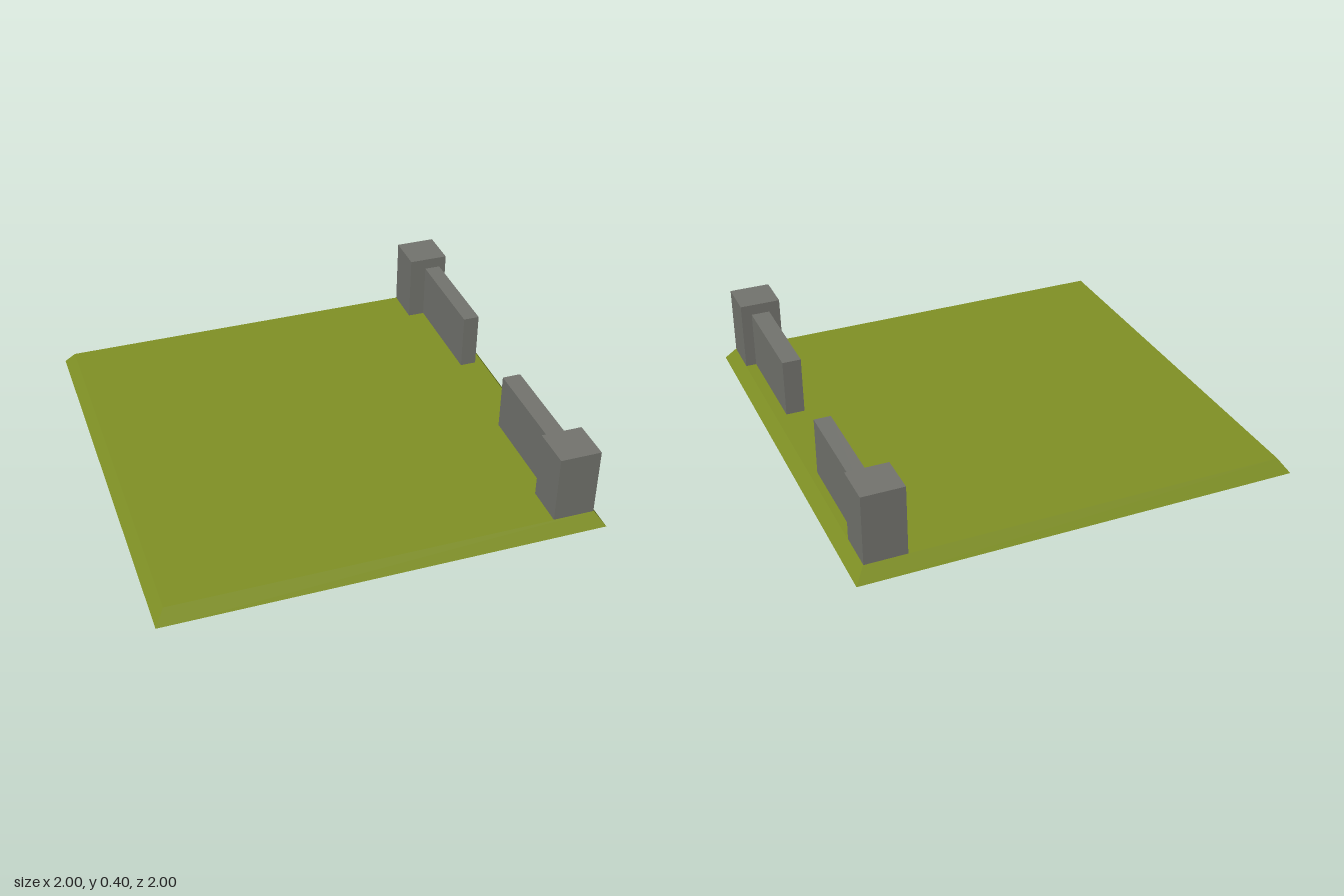
import * as THREE from 'three';

const grass = new THREE.MeshStandardMaterial({ color: 0x809125, side: THREE.DoubleSide });
grass.name = 'olive ground';
const stone = new THREE.MeshStandardMaterial({ color: 0x73746e, side: THREE.DoubleSide });
stone.name = 'grey stone';

// Box shell with an open underside; the top edge is drawn in by inset
function openBox(name, material, [x0, x1], [y0, y1], [z0, z1], inset = 0) {
  const w = x1 - x0, h = y1 - y0, d = z1 - z0;
  const geo = new THREE.BoxGeometry(w, h, d);
  const index = Array.from(geo.index.array);
  index.splice(18, 6); // drop the bottom face
  geo.setIndex(index);
  geo.clearGroups();
  const p = geo.attributes.position;
  for (let i = 0; i < p.count; i++) {
    if (p.getY(i) > 0) {
      p.setX(i, p.getX(i) - Math.sign(p.getX(i)) * inset);
      p.setZ(i, p.getZ(i) - Math.sign(p.getZ(i)) * inset);
    }
  }
  geo.computeVertexNormals();
  const mesh = new THREE.Mesh(geo, material);
  mesh.name = name;
  mesh.position.set((x0 + x1) / 2, (y0 + y1) / 2, (z0 + z1) / 2);
  return mesh;
}

export function createModel() {
  const model = new THREE.Group();
  model.name = 'groundTileWithGateWalls';

  // Ground slab with bevelled sides
  model.add(openBox('ground', grass, [-1, 1], [0.018, 0.08], [-1, 1], 0.045));

  // Corner pillars
  model.add(openBox('frontPillar', stone, [0.765, 0.953], [0.02, 0.4], [0.765, 0.953]));
  model.add(openBox('backPillar', stone, [0.765, 0.953], [0.02, 0.4], [-0.955, -0.768]));

  // Low walls running from the pillars towards the gap
  model.add(openBox('frontWall', stone, [0.818, 0.904], [0, 0.35], [0.253, 0.86]));
  model.add(openBox('backWall', stone, [0.844, 0.92], [0.012, 0.347], [-0.94, -0.26]));

  return model;
}
